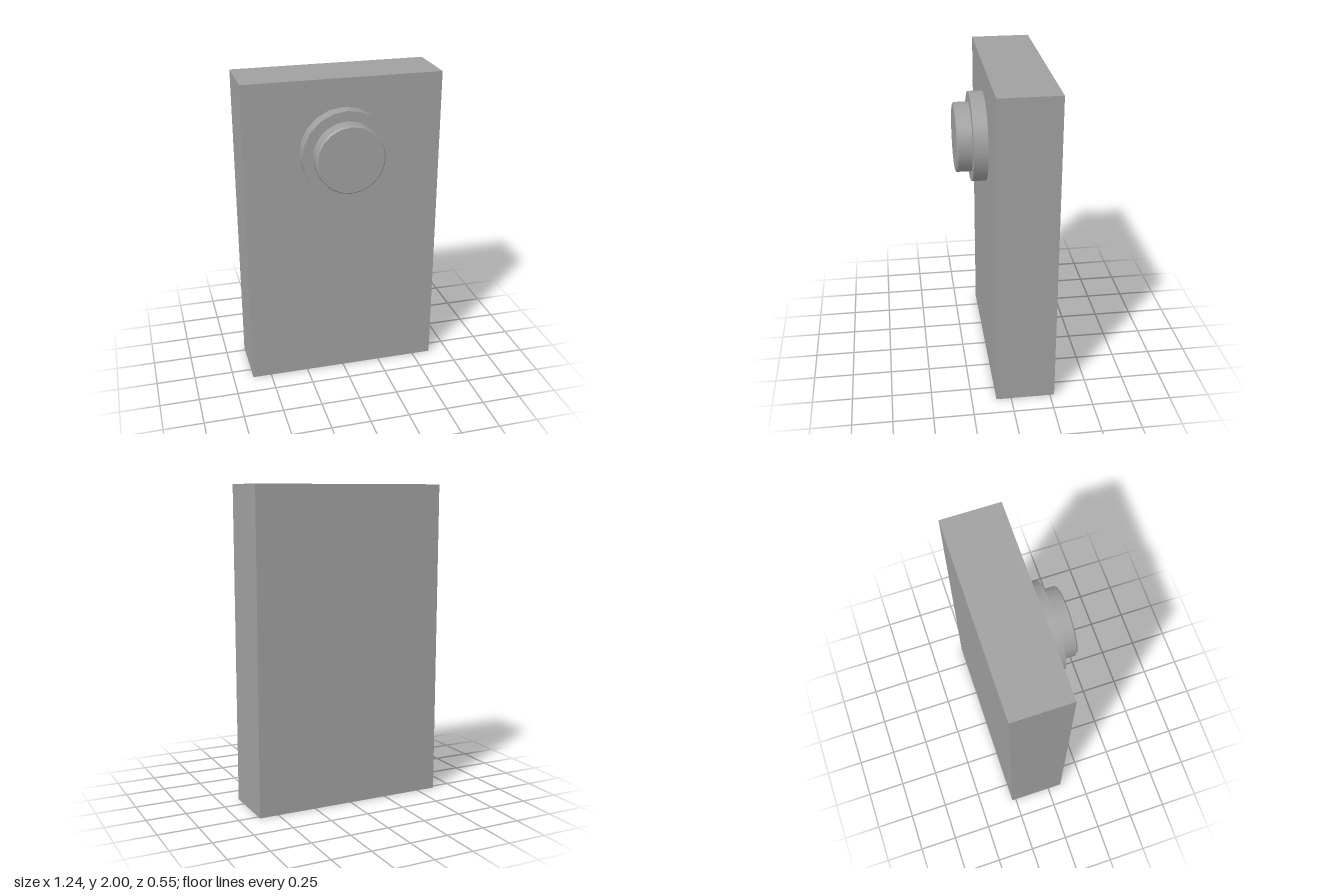
import * as THREE from 'three';

export function createModel() {
  const model = new THREE.Group();
  const grey = new THREE.MeshStandardMaterial({ color: 0xa0a0a0 });
  grey.name = 'grey';

  const add = (name, geometry, x, y, z) => {
    const mesh = new THREE.Mesh(geometry, grey);
    mesh.name = name;
    mesh.position.set(x, y, z);
    model.add(mesh);
  };

  // Round part along z, between two depths, with a back and front radius
  const SIDES = 20, CENTRE_Y = 1.546;
  const disc = (name, backRadius, frontRadius, z0, z1, open = false) => {
    const geometry = new THREE.CylinderGeometry(frontRadius, backRadius, z1 - z0, SIDES, 1, open);
    geometry.rotateX(Math.PI / 2);
    add(name, geometry, 0, CENTRE_Y, (z0 + z1) / 2);
  };

  // Flat rectangular panel
  add('panel', new THREE.BoxGeometry(1.244, 2, 0.371), 0, 1, -0.0915);

  // Stepped round knob: wide collar, narrower button, small bevel at its face
  disc('collar', 0.278, 0.278, 0.094, 0.182);
  disc('button', 0.215, 0.215, 0.182, 0.269, true);
  disc('buttonBevel', 0.215, 0.207, 0.269, 0.277);

  return model;
}
